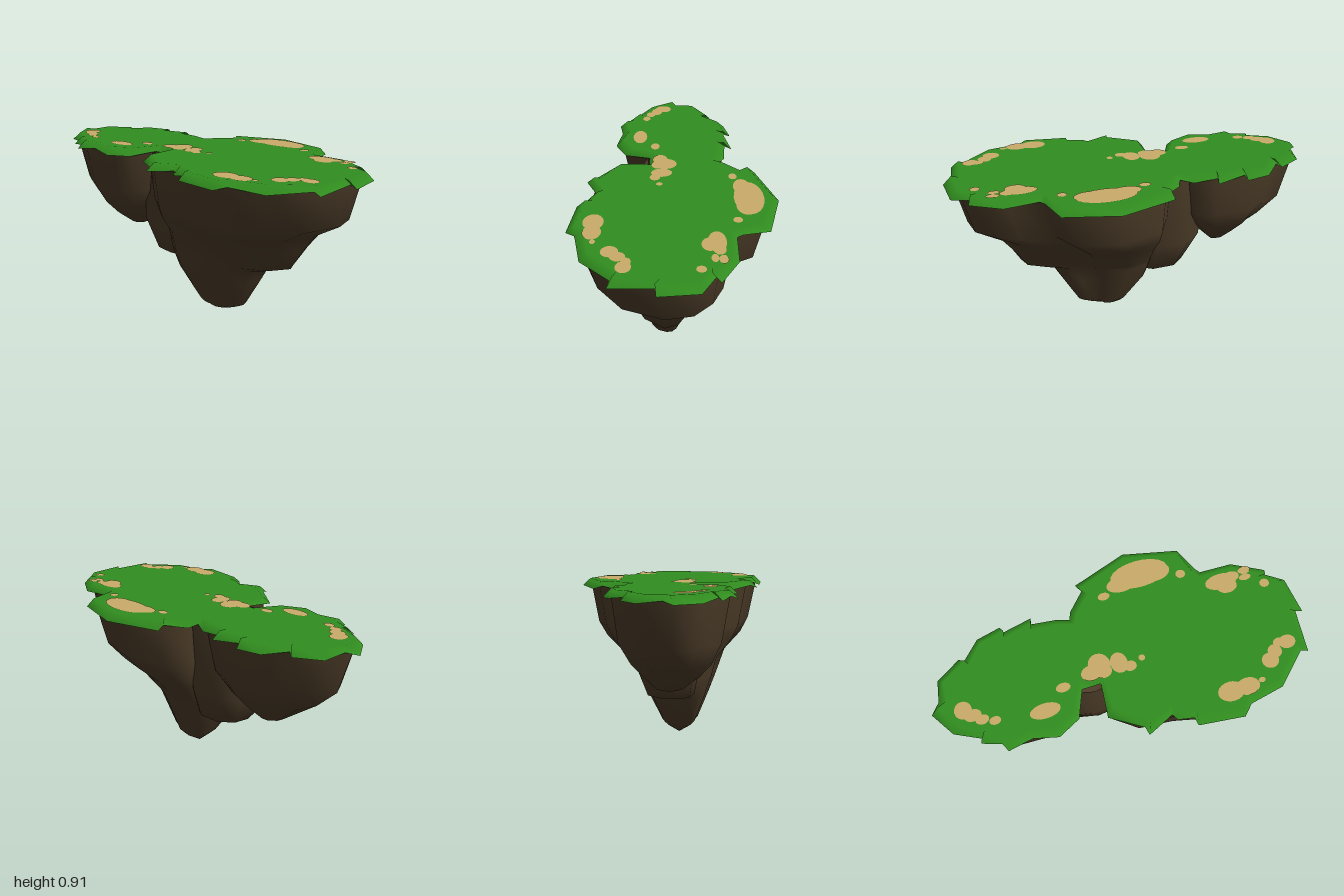
import * as THREE from 'three';

const grassMat = new THREE.MeshStandardMaterial({ color: 0x318e1f, side: THREE.DoubleSide });
grassMat.name = 'grass green';
const rockMat = new THREE.MeshStandardMaterial({ color: 0x4d3d29, side: THREE.DoubleSide });
rockMat.name = 'earth brown';
const dirtMat = new THREE.MeshStandardMaterial({ color: 0xcbac6a });
dirtMat.name = 'dirt tan';

const TOP = 0.903;

function indexed(positions, index) {
  const g = new THREE.BufferGeometry();
  g.setAttribute('position', new THREE.Float32BufferAttribute(positions, 3));
  g.setIndex(index);
  g.computeVertexNormals();
  return g;
}

function mesh(name, geometry, material) {
  const m = new THREE.Mesh(geometry, material);
  m.name = name;
  return m;
}

// Wall of quads between stacked rings of n points, upper ring first
function wallIndex(n, rings) {
  const index = [];
  for (let r = 0; r < rings - 1; r++) {
    for (let i = 0; i < n; i++) {
      const j = (i + 1) % n;
      const a = r * n + i, b = r * n + j, c = a + n, d = b + n;
      index.push(a, c, d, a, d, b);
    }
  }
  return index;
}

// Hanging rock: one outline fitted to [y, xMin, xMax, zMin, zMax, spur] at each level, closed at a tip.
// The spur pushes only the +x end outwards.
function rockLobe(name, outline, levels, tip) {
  const xs = outline.map(p => p[0]), zs = outline.map(p => p[1]);
  const x0 = Math.min(...xs), x1 = Math.max(...xs);
  const z0 = Math.min(...zs), z1 = Math.max(...zs);
  const n = outline.length, pos = [];
  for (const [y, xa, xb, za, zb, spur = 0] of levels) {
    for (const [x, z] of outline) {
      const u = (x - x0) / (x1 - x0), v = (z - z0) / (z1 - z0);
      pos.push(xa + (xb - xa) * u + spur * u ** 4, y, za + (zb - za) * v);
    }
  }
  const index = wallIndex(n, levels.length);
  const base = (levels.length - 1) * n;
  pos.push(...tip);
  for (let i = 0; i < n; i++) index.push(base + i, levels.length * n, base + (i + 1) % n);
  return mesh(name, indexed(pos, index), rockMat);
}

// Ragged edge of the turf, (x, z)
const turfEdge = [
  [-1, 0.03], [-0.95, -0.02], [-0.93, -0.14], [-0.80, -0.22], [-0.77, -0.20], [-0.68, -0.30],
  [-0.55, -0.33], [-0.54, -0.29], [-0.38, -0.33], [-0.39, -0.29], [-0.26, -0.28], [-0.19, -0.25],
  [-0.17, -0.30], [-0.08, -0.39], [-0.10, -0.44], [0.20, -0.54], [0.49, -0.47], [0.54, -0.33],
  [0.56, -0.30], [0.74, -0.30], [0.90, -0.21], [0.87, -0.19], [0.98, -0.12], [1, 0.08],
  [0.96, 0.07], [0.94, 0.30], [0.90, 0.29], [0.74, 0.44], [0.55, 0.48], [0.50, 0.53],
  [0.26, 0.50], [0.25, 0.46], [0.17, 0.44], [0.15, 0.41], [0.01, 0.47], [0, 0.43],
  [-0.16, 0.32], [-0.14, 0.14], [-0.24, 0.14], [-0.30, 0.28], [-0.42, 0.34], [-0.55, 0.31],
  [-0.68, 0.33], [-0.70, 0.29], [-0.80, 0.25], [-0.79, 0.23], [-0.92, 0.16],
].reverse();

function turf() {
  const group = new THREE.Group();
  group.name = 'turf';
  const n = turfEdge.length;
  const at = i => turfEdge[(i + n) % n];
  const upper = [], lower = [], flat = [];
  for (let i = 0; i < n; i++) {
    const [x, z] = at(i), [px, pz] = at(i - 1), [nx, nz] = at(i + 1);
    // smoothed inward direction
    const tx = at(i + 2)[0] - at(i - 2)[0], tz = at(i + 2)[1] - at(i - 2)[1];
    const len = Math.hypot(tx, tz) || 1;
    const ix = x + 0.045 * tz / len, iz = z - 0.045 * tx / len;
    // outward corners hang lower than notches
    const convex = (x - px) * (nz - z) - (z - pz) * (nx - x) < 0;
    upper.push(ix, TOP, iz);
    lower.push(x, convex ? 0.862 : 0.876, z);
    flat.push(new THREE.Vector2(ix, -iz));
  }
  // the rim rolls smoothly over from the flat top
  const skirt = indexed([...upper, ...lower], wallIndex(n, 2));
  for (let i = 0; i < n; i++) skirt.attributes.normal.setXYZ(i, 0, 1, 0);
  group.add(mesh('turfSkirt', skirt, grassMat));
  const faces = THREE.ShapeUtils.triangulateShape(flat, []);
  group.add(mesh('turfTop', indexed(upper, faces.flat()), grassMat));
  return group;
}

// Bare dirt, each spot is [x, z, radiusX, radiusZ]
const spots = [
  [0.24, -0.38, 0.16, 0.078], [0.13, -0.35, 0.08, 0.045], [0.32, -0.365, 0.085, 0.055], [0.02, -0.31, 0.032, 0.022],
  [0.45, -0.31, 0.026, 0.024], [0.64, -0.20, 0.088, 0.045], [0.66, -0.165, 0.055, 0.04], [0.70, -0.21, 0.045, 0.03],
  [0.78, -0.225, 0.034, 0.022], [0.77, -0.185, 0.032, 0.018], [0.855, -0.12, 0.026, 0.024],
  [-0.12, 0.05, 0.058, 0.062], [-0.17, 0.08, 0.055, 0.042], [-0.11, 0.09, 0.045, 0.037], [-0.02, 0.07, 0.045, 0.057],
  [0.03, 0.105, 0.033, 0.028], [0.10, 0.08, 0.017, 0.017], [-0.33, 0.11, 0.038, 0.025], [-0.45, 0.20, 0.08, 0.04],
  [-0.84, 0.07, 0.045, 0.047], [-0.80, 0.11, 0.045, 0.032], [-0.76, 0.145, 0.035, 0.026], [-0.70, 0.17, 0.03, 0.022],
  [0.47, 0.395, 0.07, 0.052], [0.56, 0.395, 0.062, 0.046], [0.64, 0.385, 0.018, 0.014], [0.72, 0.30, 0.045, 0.042],
  [0.76, 0.26, 0.037, 0.037], [0.84, 0.23, 0.045, 0.037], [0.80, 0.22, 0.033, 0.024],
];

function dirtPatches() {
  const group = new THREE.Group();
  group.name = 'dirtPatches';
  for (const [x, z, rx, rz] of spots) {
    const spot = mesh('dirtSpot', new THREE.CircleGeometry(1, 20).rotateX(-Math.PI / 2).scale(rx, 1, rz), dirtMat);
    spot.position.set(x, TOP + 0.003, z);
    group.add(spot);
  }
  return group;
}

export function createModel() {
  const model = new THREE.Group();
  model.name = 'floatingIsland';

  // Large mass tapering to the lowest point, with a ledge on its left
  model.add(rockLobe('mainRock', [
    [-0.12, 0.15], [-0.13, 0.30], [0, 0.40], [0.20, 0.42], [0.50, 0.495], [0.72, 0.41], [0.88, 0.27],
    [0.955, 0.05], [0.93, -0.10], [0.84, -0.20], [0.72, -0.26], [0.53, -0.29], [0.45, -0.44],
    [0.20, -0.49], [-0.06, -0.41], [-0.14, -0.25], [-0.13, -0.05],
  ], [
    [0.876, -0.14, 0.955, -0.49, 0.50],
    [0.65, -0.13, 0.86, -0.445, 0.45, 0.04],
    [0.57, -0.12, 0.70, -0.39, 0.40, 0.06],
    [0.47, -0.11, 0.58, -0.28, 0.30, 0.11],
    [0.365, -0.10, 0.49, -0.20, 0.26, 0.14],
    [0.33, -0.095, 0.47, -0.18, 0.245],
    [0.24, -0.07, 0.42, -0.145, 0.21],
    [0.07, 0.045, 0.32, -0.07, 0.14],
    [0.045, 0.07, 0.26, -0.045, 0.115],
  ], [0.115, 0, 0.03]));

  // Rounded lobe on the right
  model.add(rockLobe('rightRock', [
    [-0.96, 0.03], [-0.90, 0.14], [-0.78, 0.22], [-0.66, 0.29], [-0.42, 0.30], [-0.33, 0.25], [-0.27, 0.15],
    [-0.22, 0.05], [-0.22, -0.10], [-0.26, -0.24], [-0.40, -0.29], [-0.66, -0.28], [-0.76, -0.20], [-0.90, -0.13],
  ], [
    [0.876, -0.96, -0.20, -0.29, 0.30],
    [0.64, -0.89, -0.25, -0.26, 0.26],
    [0.53, -0.77, -0.33, -0.20, 0.21],
    [0.46, -0.67, -0.39, -0.14, 0.15],
    [0.39, -0.57, -0.46, -0.07, 0.06],
  ], [-0.49, 0.375, 0]));

  // Narrow lobe joining the two
  model.add(rockLobe('middleRock', [
    [-0.40, 0], [-0.36, 0.12], [-0.20, 0.16], [-0.04, 0.14], [0.05, 0.02],
    [0.03, -0.16], [-0.10, -0.25], [-0.28, -0.24], [-0.38, -0.13],
  ], [
    [0.876, -0.38, 0.06, -0.25, 0.17],
    [0.46, -0.39, 0.05, -0.20, 0.15],
    [0.29, -0.30, 0.02, -0.14, 0.12],
  ], [-0.07, 0.24, 0]));

  model.add(turf(), dirtPatches());
  return model;
}
